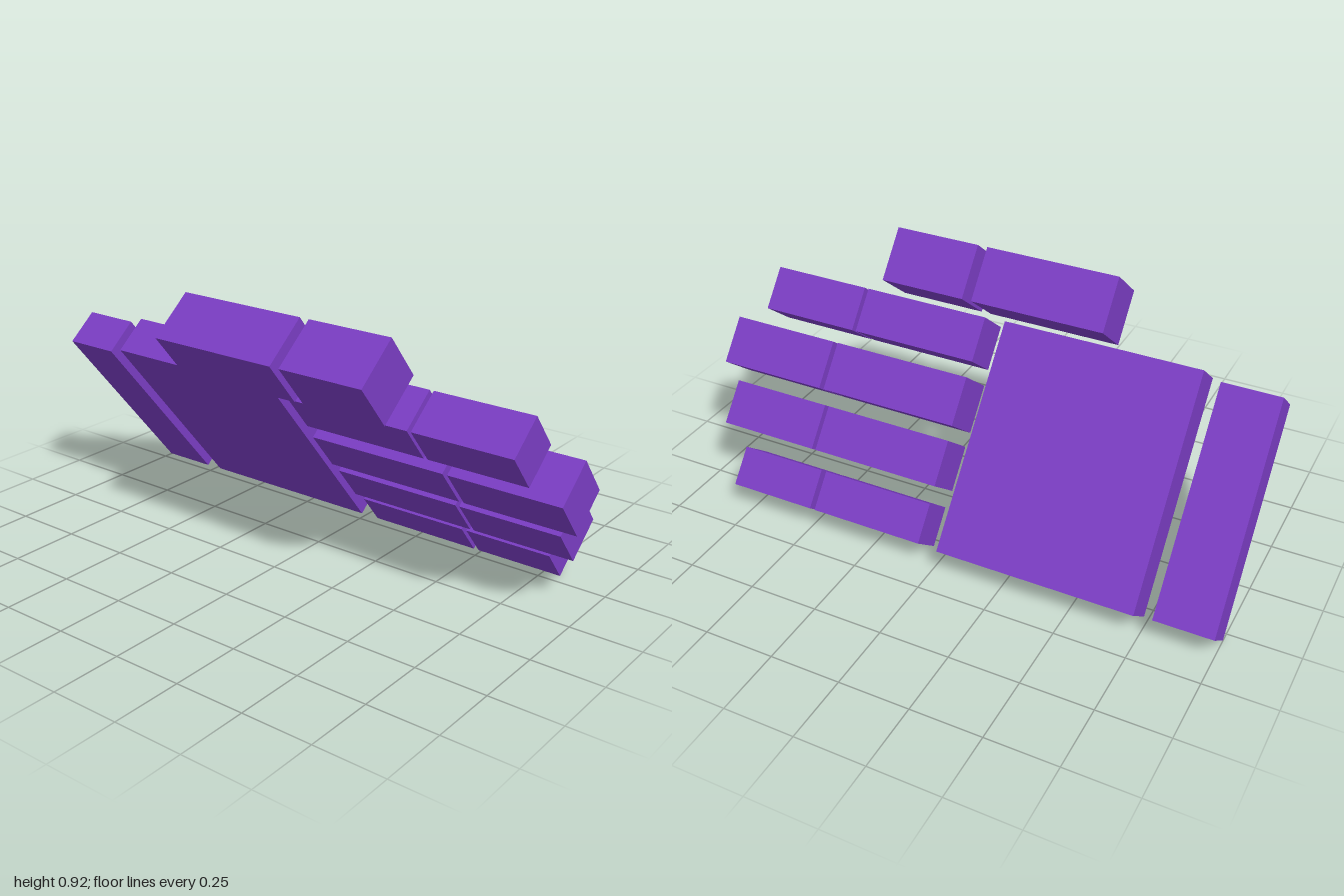
import * as THREE from 'three';

// Blocky open hand, every block leaning forward by the same angle
const TILT = 0.683;

export function createModel() {
  const hand = new THREE.Group();
  hand.name = 'hand';
  const material = new THREE.MeshStandardMaterial({ color: 0x7b3dc4, flatShading: true });

  // Block from x0 to x1, with its cross-section centred on (y, z)
  function block(name, parent, x0, x1, y, z, height, depth) {
    const mesh = new THREE.Mesh(new THREE.BoxGeometry(x1 - x0, height, depth), material);
    mesh.name = name;
    mesh.position.set((x0 + x1) / 2, y, z);
    mesh.rotation.x = TILT;
    parent.add(mesh);
  }

  // Wrist cuff and palm
  block('wrist', hand, -1, -0.793, 0.351, -0.09, 0.79, 0.139);
  block('palm', hand, -0.733, -0.02, 0.362, -0.09, 0.817, 0.145);

  // Digits: two segments each, [name, inner x range, outer x range, y, z, thickness]
  const digits = [
    ['thumb', [-0.374, 0.117], [0.153, 0.47], 0.776, 0.263, 0.197],
    ['indexFinger', [0.055, 0.522], [0.537, 0.9], 0.609, 0.122, 0.159],
    ['middleFinger', [0.055, 0.574], [0.592, 1], 0.435, -0.019, 0.174],
    ['ringFinger', [0.055, 0.537], [0.552, 0.926], 0.264, -0.158, 0.162],
    ['littleFinger', [0.055, 0.473], [0.492, 0.814], 0.102, -0.297, 0.141],
  ];
  for (const [name, inner, outer, y, z, size] of digits) {
    const digit = new THREE.Group();
    digit.name = name;
    block(name + 'Base', digit, inner[0], inner[1], y, z, size, size);
    block(name + 'Tip', digit, outer[0], outer[1], y, z, size, size);
    hand.add(digit);
  }
  return hand;
}
